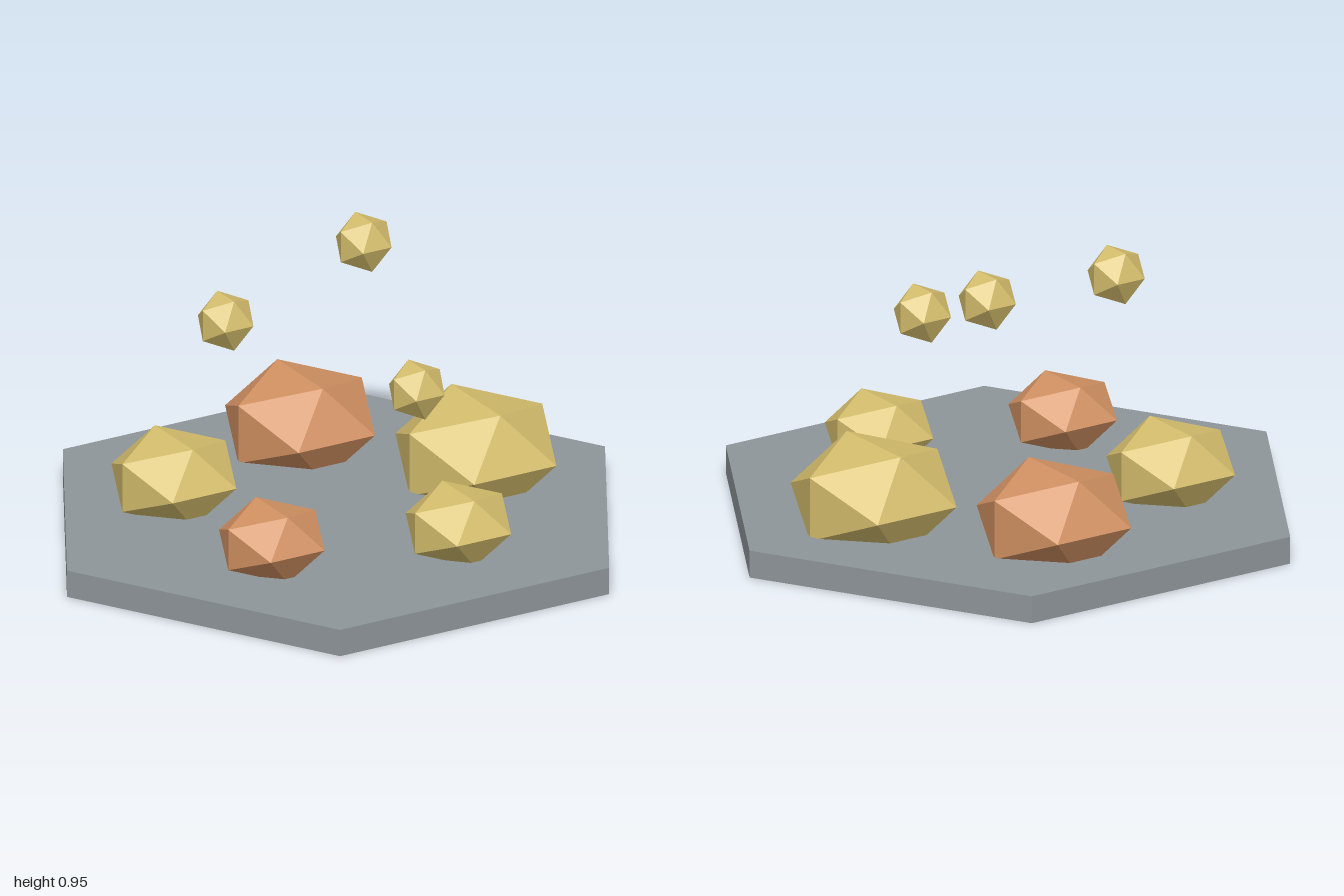
import * as THREE from 'three';

export function createModel() {
  const model = new THREE.Group();
  const material = (name, color) => {
    const m = new THREE.MeshStandardMaterial({ color, flatShading: true });
    m.name = name;
    return m;
  };
  const stone = material('slate grey', 0x8f969a);
  const gold = material('pale gold', 0xd4bd6c);
  const copper = material('copper orange', 0xd19162);

  const add = (name, geometry, mat, x, y, z) => {
    const mesh = new THREE.Mesh(geometry, mat);
    mesh.name = name;
    mesh.position.set(x, y, z);
    model.add(mesh);
    return mesh;
  };

  // Hexagonal base slab with corners on the x axis
  const slab = new THREE.CylinderGeometry(1, 1, 0.091, 6).rotateY(Math.PI / 6);
  add('baseSlab', slab, stone, 0, 0.0455, 0);

  // Icosahedron turned so its ridge edges run along z
  const nugget = (radius, squash = 1) =>
    new THREE.IcosahedronGeometry(radius, 0).rotateY(Math.PI / 2).scale(1, squash, 1);

  // Ring of five squashed nuggets, partly sunk into the slab
  const ring = [
    [0.29, gold], [0.19, gold], [0.19, copper], [0.225, gold], [0.27, copper],
  ];
  ring.forEach(([radius, mat], i) => {
    const a = (i / ring.length) * Math.PI * 2;
    add(`nugget${i + 1}`, nugget(radius, 0.7), mat, 0.52 * Math.cos(a), 0.183, 0.52 * Math.sin(a));
  });

  // Three small fragments floating above
  const floating = [
    [0.092, 0.61, 0.35], [-0.353, 0.783, -0.096], [0.256, 0.867, -0.257],
  ];
  floating.forEach((p, i) => add(`floatingFragment${i + 1}`, nugget(0.1), gold, ...p));

  return model;
}
